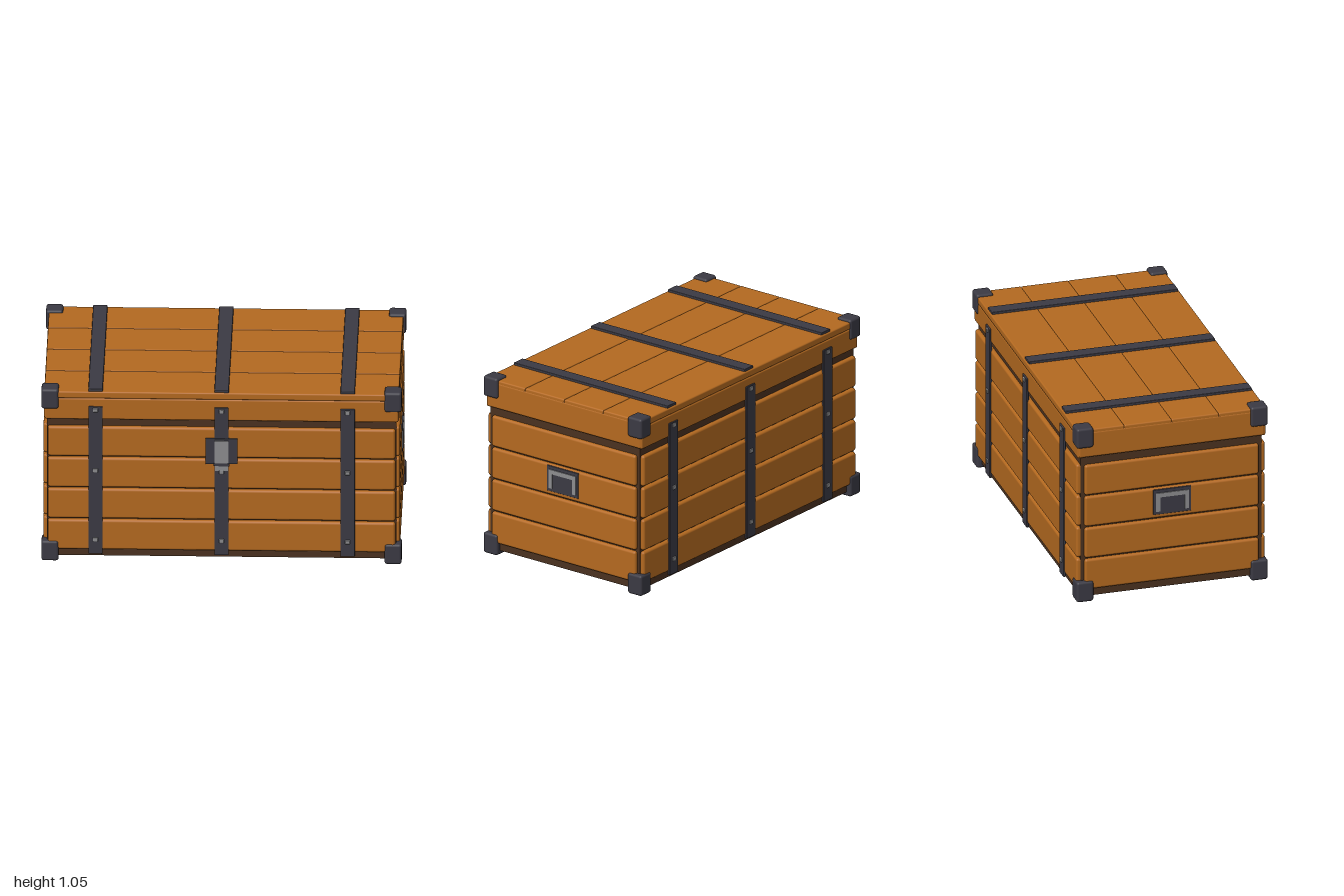
import * as THREE from 'three';
import { RoundedBoxGeometry } from 'three/addons/geometries/RoundedBoxGeometry.js';

const material = (name, color) => {
  const m = new THREE.MeshStandardMaterial({ color });
  m.name = name;
  return m;
};

export function createModel() {
  const wood = material('wood', 0xb56a20);
  const darkWood = material('dark wood', 0x4b3220);
  const iron = material('dark iron', 0x3b3a44);
  const steel = material('steel', 0x8d8d8f);

  const chest = new THREE.Group();
  chest.name = 'chest';

  // box given by its min and max on each axis, optionally with rounded edges
  function block(name, mat, [x0, x1], [y0, y1], [z0, z1], radius = 0) {
    const w = x1 - x0, h = y1 - y0, d = z1 - z0;
    const geometry = radius
      ? new RoundedBoxGeometry(w, h, d, 2, radius)
      : new THREE.BoxGeometry(w, h, d);
    const mesh = new THREE.Mesh(geometry, mat);
    mesh.name = name;
    mesh.position.set((x0 + x1) / 2, (y0 + y1) / 2, (z0 + z1) / 2);
    chest.add(mesh);
    return mesh;
  }
  // range from a to b, mirrored when side is -1
  const span = (side, a, b) => (side > 0 ? [a, b] : [-b, -a]);
  const sides = [1, -1];

  // dark inner body and lid filling
  block('innerBody', darkWood, [-0.97, 0.97], [0.025, 0.9], [-0.525, 0.525]);
  block('lidFilling', wood, [-0.96, 0.96], [0.9, 1.02], [-0.52, 0.52]);

  // four rows of planks on all walls
  for (let i = 0; i < 4; i++) {
    const y = [0.07 + i * 0.191, 0.252 + i * 0.191];
    for (const s of sides) {
      block('wallPlank', wood, [-0.965, 0.965], y, span(s, 0.505, 0.548), 0.014);
      block('endPlank', wood, span(s, 0.945, 0.99), y, [-0.505, 0.505], 0.014);
    }
  }

  // lid: front and back boards, end boards, top planks
  for (const s of sides) {
    block('lidBoard', wood, [-0.982, 0.982], [0.87, 1.0], span(s, 0.5, 0.546), 0.01);
    block('lidEndBoard', wood, span(s, 0.94, 0.986), [0.872, 1.027], [-0.54, 0.54], 0.012);
  }
  for (let i = 0; i < 4; i++) {
    const z = -0.548 + i * 0.274;
    block('lidTopPlank', wood, [-0.984, 0.984], [1.0, 1.041], [z, z + 0.274], 0.008);
  }

  // iron straps with square rivets
  for (const x of [-0.7, 0, 0.7]) {
    const width = [x - 0.04, x + 0.04];
    block('topStrap', iron, width, [1.035, 1.055], [-0.54, 0.54], 0.004);
    for (const s of sides) {
      block('wallStrap', iron, width, [0.047, 0.952], span(s, 0.54, 0.555), 0.004);
      for (const y of [0.137, 0.562, 0.933]) {
        block('rivet', steel, [x - 0.014, x + 0.014], [y - 0.012, y + 0.012],
          span(s, 0.55, 0.562), 0.004);
      }
    }
  }

  // corner caps
  for (const sx of sides) for (const sz of sides) for (const y of [[0, 0.122], [0.935, 1.055]]) {
    block('cornerCap', iron, span(sx, 0.905, 1), y, span(sz, 0.457, 0.555), 0.014);
  }

  // latch
  block('latchPlate', iron, [-0.09, 0.09], [0.61, 0.765], [0.54, 0.56], 0.004);
  block('latchHasp', steel, [-0.04, 0.04], [0.615, 0.755], [0.55, 0.565], 0.004);
  block('latchPin', iron, [-0.045, 0.045], [0.6, 0.616], [0.55, 0.565]);
  block('latchTongue', steel, [-0.037, 0.037], [0.568, 0.6], [0.55, 0.561]);

  // carrying handles on both ends
  const loop = new THREE.Shape([
    [-0.096, 0.495], [-0.096, 0.607], [0.096, 0.607], [0.096, 0.495],
    [0.071, 0.495], [0.071, 0.581], [-0.071, 0.581], [-0.071, 0.495],
  ].map(([z, y]) => new THREE.Vector2(z, y)));
  const loopGeometry = new THREE.ExtrudeGeometry(loop, { depth: 0.01, bevelEnabled: false });
  for (const s of sides) {
    block('handlePlate', iron, span(s, 0.975, 0.995), [0.476, 0.627], [-0.11, 0.11], 0.003);
    const handle = new THREE.Mesh(loopGeometry, steel);
    handle.name = 'handle';
    handle.rotation.y = s * Math.PI / 2;
    handle.position.x = s * 0.99;
    chest.add(handle);
  }

  return chest;
}
